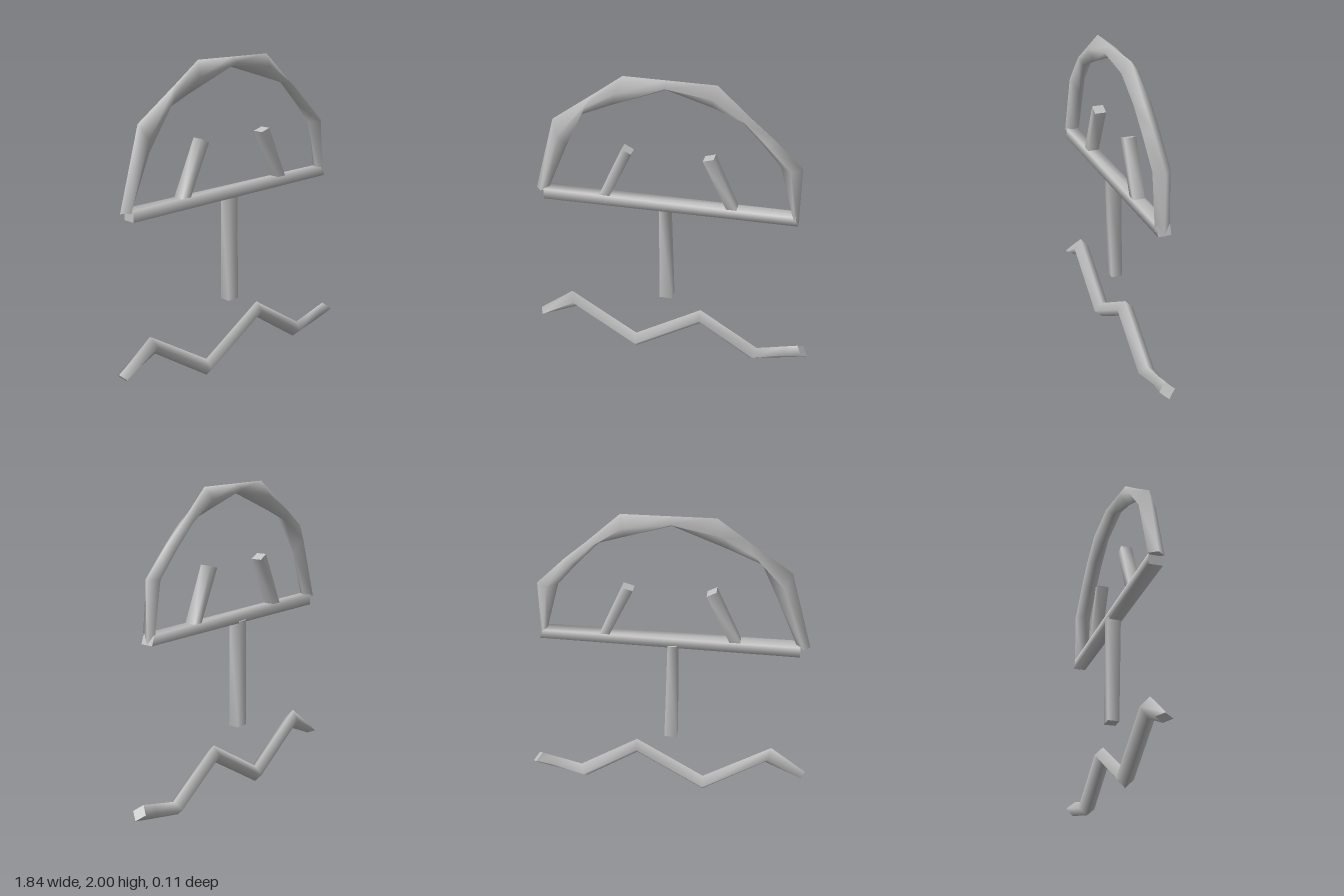
import * as THREE from 'three';

const metal = new THREE.MeshStandardMaterial({ color: 0xc0c0c0 });
metal.name = 'light grey';

// Four-sided bar. Each section is [outerX, outerY, innerX, innerY, backZ, frontZ];
// "diamond" puts the side corners halfway between outer and inner edges.
function bar(name, sections, diamond) {
  const rings = sections.map(([ox, oy, ix, iy, z0 = -0.053, z1 = 0.053]) => {
    const mx = (ox + ix) / 2, my = (oy + iy) / 2;
    return diamond
      ? [[ox, oy, 0], [mx, my, z1], [ix, iy, 0], [mx, my, z0]]
      : [[ox, oy, z1], [ix, iy, z1], [ix, iy, z0], [ox, oy, z0]];
  });
  const index = [];
  for (let i = 0; i < rings.length - 1; i++) {
    for (let j = 0; j < 4; j++) {
      const a = i * 4 + j, b = i * 4 + (j + 1) % 4;
      index.push(a, b, a + 4, b, b + 4, a + 4);
    }
  }
  // Flat end caps with their own corners
  const n = rings.length * 4;
  index.push(n, n + 2, n + 1, n, n + 3, n + 2);
  index.push(n + 4, n + 5, n + 6, n + 4, n + 6, n + 7);
  const corners = [...rings, rings[0], rings[rings.length - 1]].flat(2);

  const geometry = new THREE.BufferGeometry();
  geometry.setAttribute('position', new THREE.Float32BufferAttribute(corners, 3));
  geometry.setIndex(index);
  geometry.computeVertexNormals();
  const mesh = new THREE.Mesh(geometry, metal);
  mesh.name = name;
  return mesh;
}

export function createModel() {
  const group = new THREE.Group();
  group.name = 'outlineSign';

  // Faceted dome
  group.add(bar('archOutline', [
    [-0.87, 1.18, -0.785, 1.19, -0.05, 0.05],
    [-0.73, 1.675, -0.65, 1.505],
    [-0.45, 1.875, -0.555, 1.72],
    [-0.28, 2.0, -0.35, 1.81],
    [-0.02, 2.0, -0.02, 1.94],
    [0.28, 2.0, 0.25, 1.86],
    [0.49, 1.81, 0.41, 1.81],
    [0.62, 1.7, 0.545, 1.67],
    [0.8, 1.525, 0.67, 1.525],
    [0.8, 1.155, 0.755, 1.215, -0.04, 0.05],
  ], true));

  // Long crossbar under the dome
  group.add(bar('crossbar', [
    [-0.81, 1.195, -0.81, 1.127, -0.04, 0.045],
    [0.78, 1.215, 0.8, 1.158, -0.04, 0.04],
  ], false));

  // Two leaning sticks
  group.add(bar('rightStick', [
    [-0.45, 1.19, -0.38, 1.195, -0.036, 0.036],
    [-0.29, 1.54, -0.232, 1.51, -0.036, 0.036],
  ], false));
  group.add(bar('leftStick', [
    [0.37, 1.19, 0.43, 1.195, -0.036, 0.036],
    [0.21, 1.52, 0.275, 1.54, -0.036, 0.036],
  ], false));

  // Upright stem
  group.add(bar('stem', [
    [-0.063, 0.465, 0.02, 0.465, -0.05, 0.022],
    [-0.06, 1.155, 0.0, 1.155, -0.05, 0.035],
  ], false));

  // Zigzag wave at the bottom
  group.add(bar('wave', [
    [-0.912, 0.21, -0.872, 0.167, -0.05, 0.05],
    [-0.68, 0.388, -0.645, 0.27],
    [-0.235, 0.112, -0.235, 0.003],
    [0.208, 0.388, 0.208, 0.28],
    [0.595, 0.142, 0.558, 0.048],
    [0.77, 0.19, 0.8, 0.105, -0.035, 0.035],
    [0.86, 0.215, 0.93, 0.138, -0.05, 0.05],
  ], true));

  return group;
}
